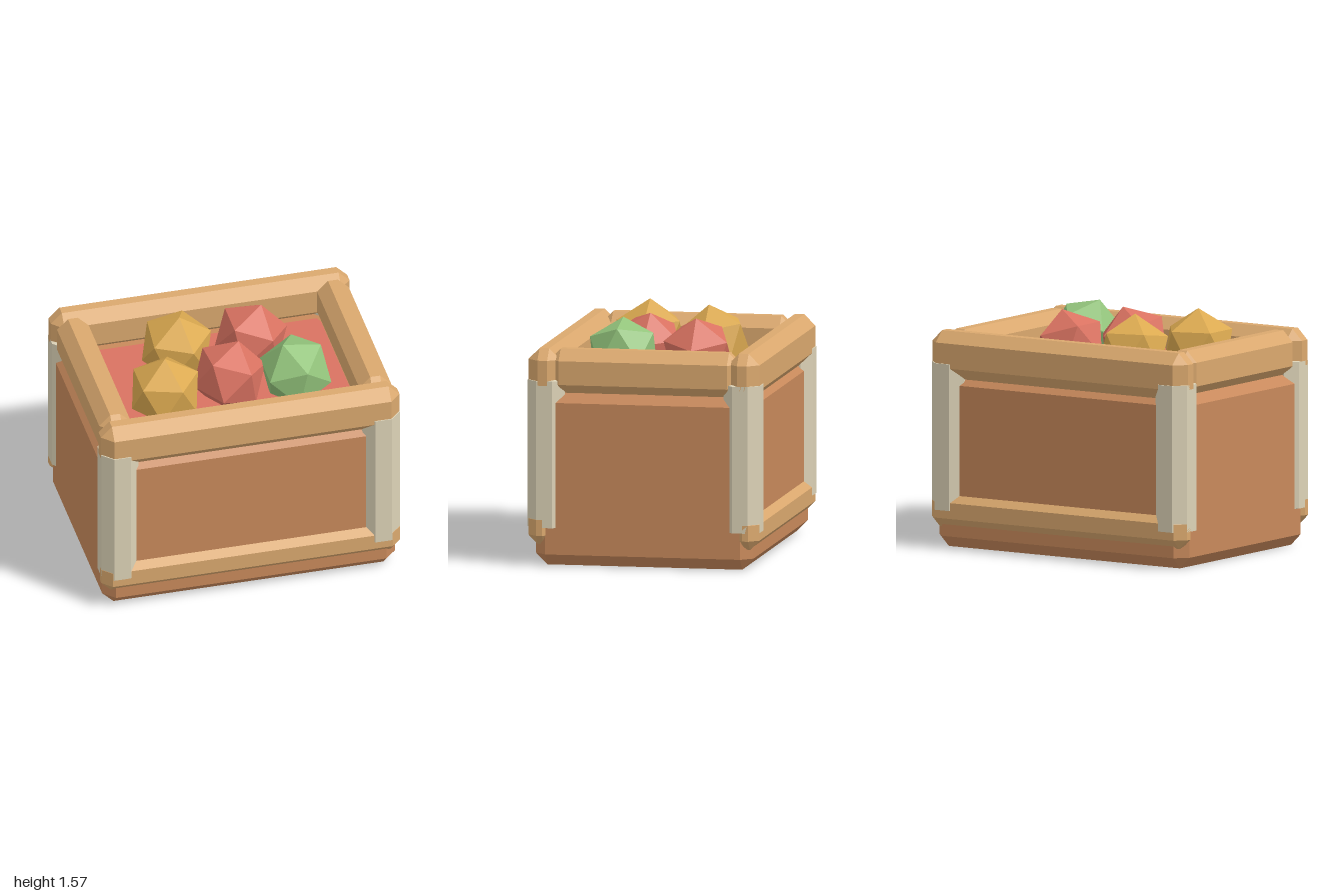
import * as THREE from 'three';
import { ConvexGeometry } from 'three/addons/geometries/ConvexGeometry.js';

const material = (name, color) => {
  const m = new THREE.MeshStandardMaterial({ color });
  m.name = name;
  return m;
};

// Box between two corners with every edge chamfered (cx, cy, cz = inset per axis)
function chamferBox(min, max, [cx, cy, cz]) {
  const half = min.map((v, i) => (max[i] - v) / 2);
  const mid = min.map((v, i) => (max[i] + v) / 2);
  const [hx, hy, hz] = half;
  const points = [];
  for (const sx of [-1, 1]) for (const sy of [-1, 1]) for (const sz of [-1, 1]) {
    points.push(
      new THREE.Vector3(sx * hx, sy * (hy - cy), sz * (hz - cz)),
      new THREE.Vector3(sx * (hx - cx), sy * hy, sz * (hz - cz)),
      new THREE.Vector3(sx * (hx - cx), sy * (hy - cy), sz * hz)
    );
  }
  return new ConvexGeometry(points).translate(...mid);
}

export function createModel() {
  const group = new THREE.Group();
  group.name = 'fruitCrate';

  const bodyWood = material('body wood', 0xc8895b);
  const railWood = material('rail wood', 0xdaa86e);
  const pale = material('pale corner', 0xdcd2b6);
  const red = material('red', 0xd97261);
  const yellow = material('yellow', 0xdba950);
  const green = material('green', 0x93c47c);

  const add = (name, geometry, mat) => {
    const mesh = new THREE.Mesh(geometry, mat);
    mesh.name = name;
    group.add(mesh);
    return mesh;
  };
  const box = (name, min, max, c, mat) => add(name, chamferBox(min, max, c), mat);
  const even = (c) => [c, c, c];

  // Crate body and the red filling on top
  box('body', [-0.98, 0, -0.72], [0.98, 1.145, 0.72], even(0.075), bodyWood);
  box('filling', [-0.775, 1.0, -0.525], [0.775, 1.18, 0.525], even(0.03), red);

  // Front and back rails, side rails and corner posts
  for (const s of [1, -1]) {
    const end = s > 0 ? 'front' : 'back';
    const side = s > 0 ? 'left' : 'right';
    const zSpan = (a, b) => (s > 0 ? [a, b] : [-b, -a]);

    const [t0, t1] = zSpan(0.555, 0.765);
    box(end + 'TopRail', [-1, 1.11, t0], [1, 1.42, t1], even(0.073), railWood);

    const [b0, b1] = zSpan(0.6, 0.765);
    box(end + 'BottomRail', [-1, 0.135, b0], [1, 0.365, b1], even(0.063), railWood);

    const [x0, x1] = zSpan(0.765, 0.977);
    box(side + 'TopRail', [x0, 1.115, -0.63], [x1, 1.417, 0.63], even(0.073), railWood);

    for (const sx of [1, -1]) {
      const [p0, p1] = sx > 0 ? [0.75, 1] : [-1, -0.75];
      const [q0, q1] = zSpan(0.525, 0.77);
      box(end + (sx > 0 ? 'Left' : 'Right') + 'Post',
        [p0, 0.24, q0], [p1, 1.222, q1], [0.07, 0.01, 0.07], pale);
    }
  }

  // Fruit: faceted balls with one point up, tilted towards (dx, dz)
  const radius = 0.247;
  const up = new THREE.Vector3(0, 1, 0);
  const fruits = [
    ['backYellowFruit', -0.26, 1.32, -0.23, 0.01, 0.035, -0.06, yellow],
    ['backRedFruit', 0.235, 1.315, -0.22, 0.07, 0, 0, red],
    ['frontYellowFruit', -0.455, 1.318, 0.235, 0, 0, 0, yellow],
    ['frontRedFruit', -0.005, 1.31, 0.16, 0.07, -0.03, 0, red],
    ['greenFruit', 0.42, 1.325, 0.235, -0.09, 0.02, 0, green],
  ];
  for (const [name, x, y, z, dx, dz, yaw, mat] of fruits) {
    const geometry = new THREE.IcosahedronGeometry(radius, 0);
    geometry.rotateZ(-Math.atan(2 / (1 + Math.sqrt(5)))).rotateY(yaw);
    const fruit = add(name, geometry, mat);
    const tip = new THREE.Vector3(dx, Math.sqrt(radius ** 2 - dx * dx - dz * dz), dz).normalize();
    fruit.quaternion.setFromUnitVectors(up, tip);
    fruit.position.set(x, y, z);
  }

  return group;
}
